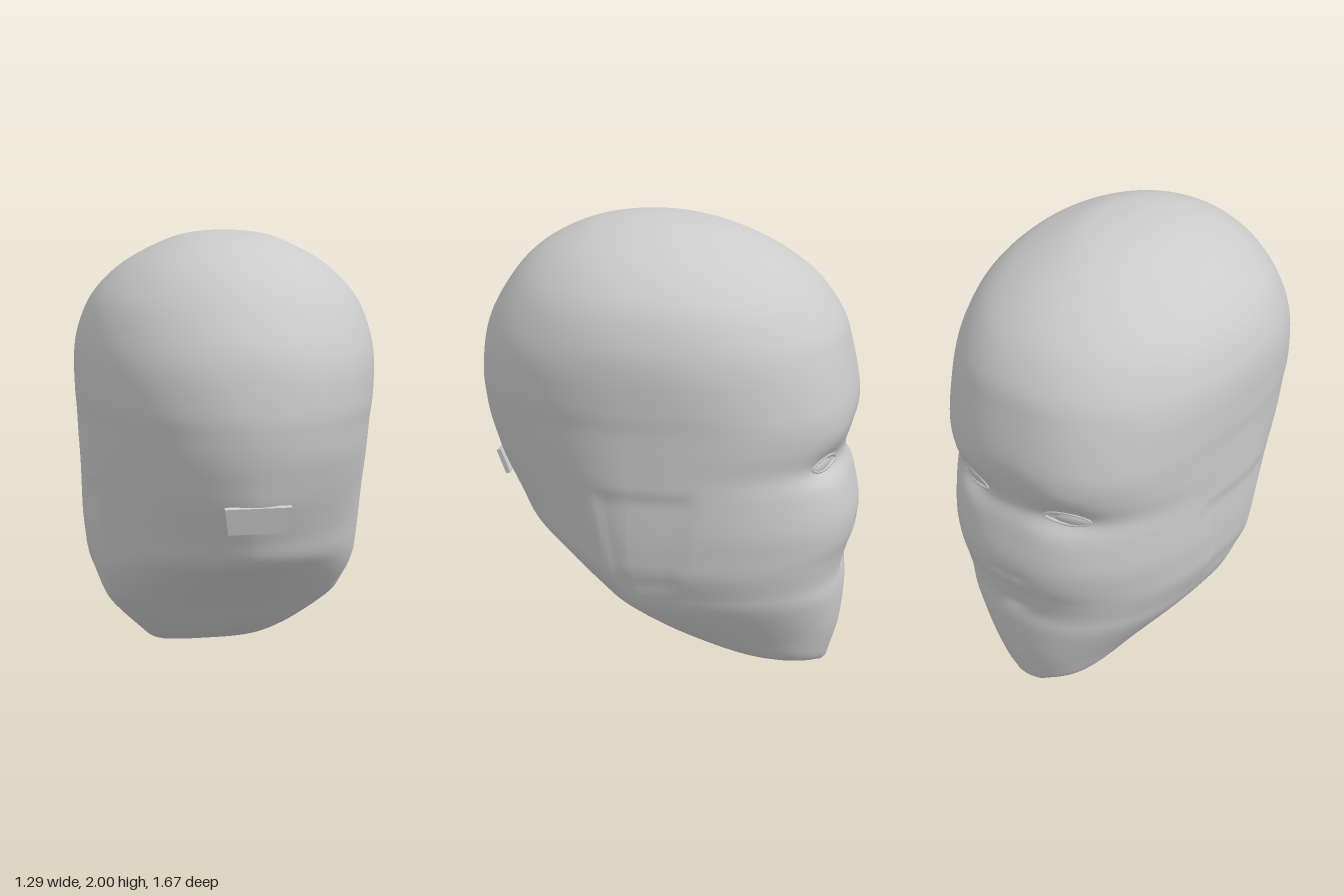
import * as THREE from 'three';

// Horizontal sections, bottom to top:
// [y, face z, back z, half width, z of widest point, face roundness, back roundness]
const SECTIONS = [
  [0.00, -0.72, -0.66, 0.08, -0.69, 2.0, 2.0],
  [0.05, -0.735, -0.38, 0.23, -0.52, 2.1, 3.6],
  [0.18, -0.77, -0.06, 0.35, -0.29, 2.3, 3.4],
  [0.35, -0.785, 0.18, 0.495, -0.05, 2.45, 2.7],
  [0.45, -0.78, 0.33, 0.545, 0.02, 2.5, 2.2],
  [0.55, -0.80, 0.49, 0.585, 0.05, 2.45, 1.85],
  [0.64, -0.83, 0.63, 0.60, 0.06, 2.4, 1.65],
  [0.75, -0.835, 0.69, 0.61, 0.06, 2.45, 1.65],
  [0.90, -0.805, 0.76, 0.615, 0.06, 2.5, 1.75],
  [1.00, -0.775, 0.79, 0.62, 0.06, 2.5, 1.85],
  [1.10, -0.80, 0.815, 0.625, 0.05, 2.5, 1.95],
  [1.20, -0.825, 0.83, 0.63, 0.05, 2.45, 2.0],
  [1.30, -0.82, 0.835, 0.64, 0.05, 2.35, 2.05],
  [1.45, -0.79, 0.82, 0.645, 0.05, 2.25, 2.05],
  [1.57, -0.755, 0.785, 0.63, 0.05, 2.15, 2.0],
  [1.70, -0.67, 0.71, 0.58, 0.05, 2.1, 2.0],
  [1.80, -0.56, 0.63, 0.50, 0.05, 2.05, 2.0],
  [1.88, -0.43, 0.53, 0.40, 0.06, 2.0, 2.0],
  [1.95, -0.27, 0.39, 0.265, 0.07, 2.0, 2.0],
  [1.985, -0.11, 0.25, 0.16, 0.07, 2.0, 2.0],
  [2.00, 0.05, 0.10, 0.02, 0.075, 2.0, 2.0],
];
const LAST = SECTIONS.length - 1;
const EYE_ROW = 9;

const material = new THREE.MeshStandardMaterial({ color: 0xcccccc });

// Cubic blend of the section table at a fractional row
function section(row) {
  const i = Math.min(Math.floor(row), LAST - 1), f = row - i;
  const at = (k) => SECTIONS[THREE.MathUtils.clamp(k, 0, LAST)];
  return SECTIONS[i].map((p1, c) => {
    const p0 = at(i - 1)[c], p2 = at(i + 1)[c], p3 = at(i + 2)[c];
    return p1 + 0.5 * f * (p2 - p0 + f * (2 * p0 - 5 * p1 + 4 * p2 - p3 + f * (3 * (p1 - p2) + p3 - p0)));
  });
}

// Soft dents (positive) and bumps (negative) on the face: [x, y, x radius, y radius, depth]
const FACE_MARKS = [
  [0.25, 0.99, 0.12, 0.06, 0.03], // eye socket
  [0.25, 1.13, 0.13, 0.05, -0.008], // brow
  [0.05, 0.66, 0.025, 0.02, 0.015], // nostril
  [0.0, 0.47, 0.06, 0.03, 0.012], // mouth
];

// Point on the head: angle 0 is the middle of the face, growing towards +x
function surface(row, angle) {
  const [y, face, back, w, mid, nFace, nBack] = section(row);
  const s = Math.sin(angle), c = Math.cos(angle);
  const power = 2 / (c > 0 ? nFace : nBack);
  let x = w * Math.sign(s) * Math.abs(s) ** power;
  let z = mid + (c > 0 ? face - mid : back - mid) * Math.abs(c) ** power;
  if (z < -0.35) {
    for (const [mx, my, rx, ry, depth] of FACE_MARKS) {
      z += depth * Math.exp(-(((Math.abs(x) - mx) / rx) ** 2) - ((y - my) / ry) ** 2);
    }
  }
  // Very shallow hollow where the ear would sit, narrower towards its foot
  const ear = THREE.MathUtils.smoothstep(0.05 + 0.2 * y - Math.abs(z), 0, 0.05)
    * THREE.MathUtils.smoothstep(0.26 - Math.abs(y - 0.7), 0, 0.08);
  x -= Math.sign(x) * 0.01 * ear;
  return new THREE.Vector3(x, y, z);
}

function headGeometry(rows = 120, cols = 144) {
  const pos = [], index = [];
  for (let i = 0; i <= rows; i++) {
    for (let j = 0; j < cols; j++) {
      pos.push(...surface((i / rows) * LAST, (j / cols) * Math.PI * 2));
    }
  }
  for (let i = 0; i < rows; i++) {
    for (let j = 0; j < cols; j++) {
      const k = (j + 1) % cols;
      const a = i * cols + j, b = i * cols + k, c = a + cols, d = b + cols;
      index.push(a, c, b, b, c, d);
    }
  }
  // Caps under the chin and on the crown
  const bottom = pos.length / 3, top = bottom + 1, ring = rows * cols;
  pos.push(0, 0, -0.69, 0, 2, 0.075);
  for (let j = 0; j < cols; j++) {
    const k = (j + 1) % cols;
    index.push(bottom, j, k, top, ring + k, ring + j);
  }
  const geo = new THREE.BufferGeometry();
  geo.setAttribute('position', new THREE.Float32BufferAttribute(pos, 3));
  geo.setIndex(index);
  geo.computeVertexNormals();
  return geo;
}

function part(name, geometry) {
  const mesh = new THREE.Mesh(geometry, material);
  mesh.name = name;
  return mesh;
}

function eye(side) {
  const group = new THREE.Group();
  group.name = side > 0 ? 'leftEye' : 'rightEye';
  const angle = 0.33;

  // Almond rim of the lids, lying on the face
  const rim = [];
  for (let i = 0; i < 20; i++) {
    const a = (i / 20) * Math.PI * 2;
    const lift = Math.sin(a) * Math.abs(Math.sin(a)) ** 0.4 * (a < Math.PI ? 0.38 : 0.3);
    rim.push(surface(EYE_ROW + lift, side * (angle + 0.16 * Math.cos(a))));
  }
  const curve = new THREE.CatmullRomCurve3(rim, true);
  group.add(part('eyelids', new THREE.TubeGeometry(curve, 48, 0.007, 6, true)));

  // Eyeball showing slightly between the lids
  const ball = part('eyeball', new THREE.SphereGeometry(1, 24, 16));
  ball.scale.set(0.09, 0.036, 0.02);
  ball.position.copy(surface(EYE_ROW, side * angle));
  ball.position.z += 0.008;
  ball.rotation.y = -side * 0.3;
  group.add(ball);
  return group;
}

// Small tilted plate at the nape
function napePlate() {
  const shape = new THREE.Shape([[-0.12, -0.06], [0.12, -0.06], [0.14, 0.06], [-0.14, 0.06]]
    .map(([x, y]) => new THREE.Vector2(x, y)));
  const plate = part('napePlate', new THREE.ExtrudeGeometry(shape, { depth: 0.02, bevelEnabled: false }));
  plate.position.set(0, 0.86, 0.735);
  plate.rotation.x = 0.3;
  return plate;
}

export function createModel() {
  const model = new THREE.Group();
  model.name = 'head';
  model.add(part('skull', headGeometry()), napePlate(), eye(1), eye(-1));
  return model;
}
